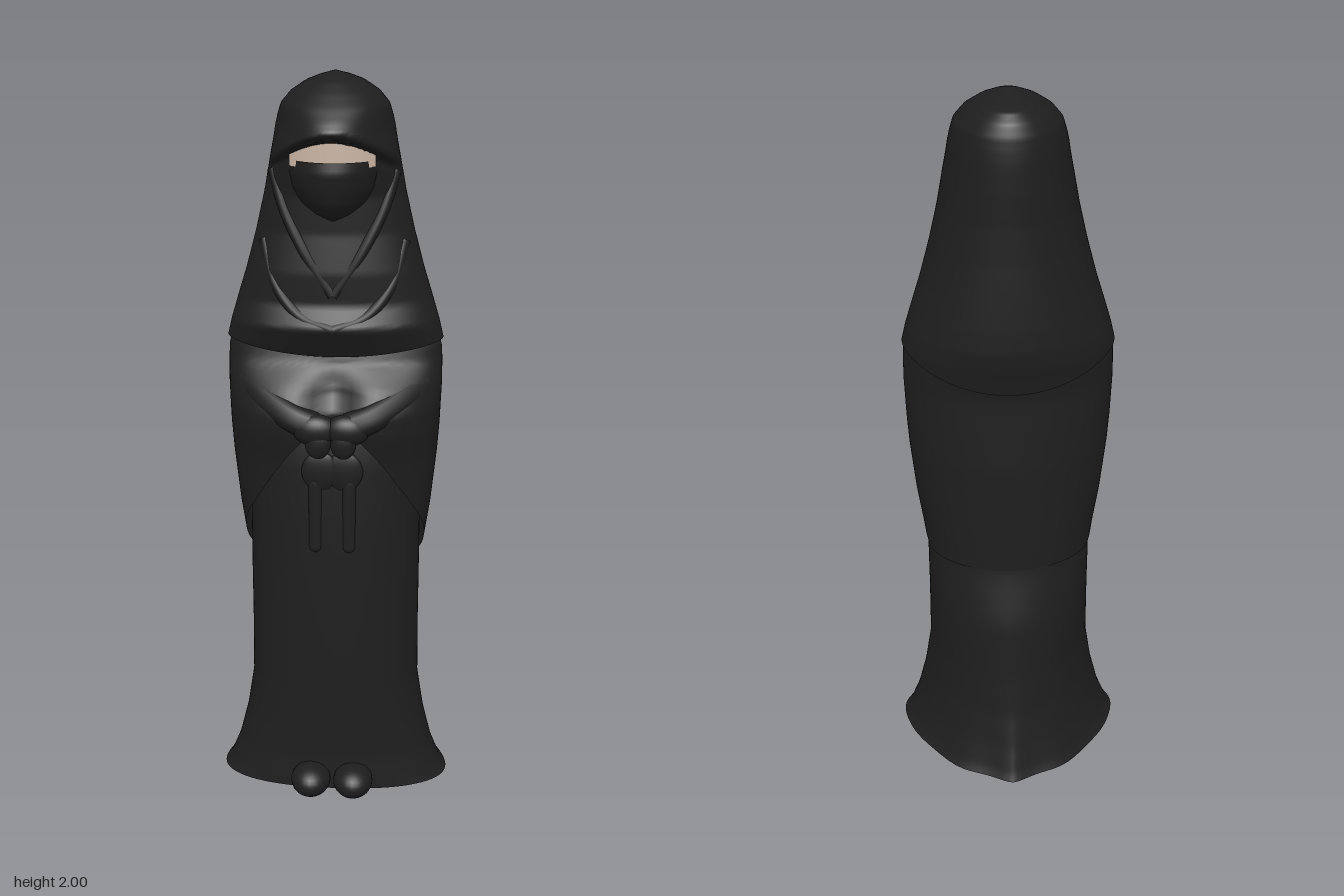
import * as THREE from 'three';

const { lerp, clamp, smoothstep } = THREE.MathUtils;
const black = new THREE.MeshStandardMaterial({ color: 0x1e1e1e, side: THREE.DoubleSide });
black.name = 'black cloth';
const skin = new THREE.MeshStandardMaterial({ color: 0xcab5a4, side: THREE.DoubleSide });
skin.name = 'skin';

// Cross-sections: [height, half width, front z, back z], bottom to top
const ROBE = [
  [0.008, 0.325, 0.203, -0.28], [0.03, 0.308, 0.203, -0.268], [0.1, 0.28, 0.198, -0.242],
  [0.2, 0.255, 0.198, -0.213], [0.32, 0.236, 0.198, -0.192], [0.5, 0.234, 0.198, -0.17],
  [0.66, 0.234, 0.198, -0.127], [0.85, 0.233, 0.197, -0.118], [1.0, 0.235, 0.192, -0.112],
  [1.1, 0.235, 0.175, -0.1], [1.35, 0.2, 0.11, -0.1]];
const CAPE = [
  [0.66, 0.238, 0.2, -0.13], [0.72, 0.243, 0.202, -0.13], [0.85, 0.262, 0.207, -0.127],
  [1.0, 0.277, 0.225, -0.125], [1.08, 0.282, 0.248, -0.12], [1.14, 0.284, 0.25, -0.116],
  [1.2, 0.286, 0.21, -0.112], [1.26, 0.285, 0.145, -0.12], [1.3, 0.283, 0.13, -0.125],
  [1.36, 0.25, 0.12, -0.12]];
const VEIL = [
  [1.22, 0.287, 0.14, -0.118], [1.28, 0.288, 0.152, -0.13], [1.31, 0.288, 0.168, -0.138],
  [1.36, 0.276, 0.195, -0.145], [1.42, 0.258, 0.167, -0.142], [1.5, 0.233, 0.168, -0.135],
  [1.6, 0.206, 0.152, -0.126], [1.7, 0.183, 0.152, -0.12], [1.78, 0.168, 0.168, -0.119],
  [1.832, 0.158, 0.18, -0.117], [1.85, 0.155, 0.238, -0.116], [1.864, 0.153, 0.255, -0.115],
  [1.89, 0.147, 0.234, -0.112], [1.92, 0.138, 0.202, -0.107], [1.95, 0.113, 0.163, -0.095],
  [1.975, 0.075, 0.125, -0.068], [1.99, 0.037, 0.09, 0.0], [2, 0, 0.055, 0.055]];
const NIQAB = [
  [1.635, 0.02, 0.15, 0.05], [1.65, 0.065, 0.172, 0.05], [1.68, 0.1, 0.196, 0.05],
  [1.72, 0.122, 0.21, 0.05], [1.76, 0.132, 0.217, 0.05], [1.79, 0.135, 0.211, 0.05]];
const ZC = 0.055;

function section(rows, y) {
  let i = 0;
  while (i < rows.length - 2 && y > rows[i + 1][0]) i++;
  const a = rows[i], b = rows[i + 1], t = clamp((y - a[0]) / (b[0] - a[0]), 0, 1);
  return [1, 2, 3].map((k) => lerp(a[k], b[k], t));
}

// Point on a cloth surface; 90 degrees is the front, the powers set how boxy each half is
function ringPoint(rows, angle, y, front = 2, back = 2) {
  const [w, f, b] = section(rows, y), c = Math.cos(angle), s = Math.sin(angle);
  const e = 2 / (s > 0 ? front : back);
  return new THREE.Vector3(Math.sign(c) * Math.abs(c) ** e * w, y,
    ZC + (s > 0 ? (f - ZC) * s ** e : (b - ZC) * (-s) ** e));
}

// Front z of a cloth surface at x, y
function frontZ(rows, x, y) {
  const [w, f] = section(rows, y);
  return ZC + (f - ZC) * Math.sqrt(Math.max(0, 1 - (x / w) ** 2));
}

// Grid surface from a rule, optionally closed around u
function surface(fn, nu, nv, closed) {
  const pos = [], index = [], cols = closed ? nu : nu + 1;
  for (let j = 0; j <= nv; j++)
    for (let i = 0; i < cols; i++) pos.push(...fn(i / nu, j / nv).toArray());
  for (let j = 0; j < nv; j++)
    for (let i = 0; i < nu; i++) {
      const a = j * cols + i, b = j * cols + (i + 1) % cols;
      index.push(a, a + cols, b, b, a + cols, b + cols);
    }
  const g = new THREE.BufferGeometry();
  g.setAttribute('position', new THREE.Float32BufferAttribute(pos, 3));
  g.setIndex(index);
  g.computeVertexNormals();
  return g;
}

export function createModel() {
  const model = new THREE.Group();
  const add = (name, geometry, material = black) => {
    const m = new THREE.Mesh(geometry, material);
    m.name = name;
    model.add(m);
    return m;
  };
  const ball = (name, p, s) => {
    const m = add(name, new THREE.SphereGeometry(1, 24, 16));
    m.position.set(...p);
    m.scale.set(...s);
    return m;
  };
  const tube = (name, pts, r) => add(name, new THREE.TubeGeometry(
    new THREE.CatmullRomCurve3(pts.map((p) => new THREE.Vector3(...p))), 24, r, 12));

  // Long robe, its rippled hem flaring to a tapered back
  add('robe', surface((u, v) => {
    const a = u * Math.PI * 2, y = lerp(0.008, 1.35, v ** 1.4);
    const p = ringPoint(ROBE, a, y, 2.3, lerp(1.62, 2, smoothstep(y, 0.05, 0.7)));
    if (p.z < 0) p.z *= 1 + 0.025 * Math.cos(a * 10 + Math.PI) * (1 - smoothstep(y, 0, 0.3));
    return p;
  }, 80, 48, true));

  // Cape sleeves, low at the sides and back, lifted and parted at the front
  add('capeSleeves', surface((u, v) => {
    const a = u * Math.PI * 2, s = Math.sin(a);
    const hem = s > 0 ? 0.73 + 0.22 * s + 0.15 * s ** 6 : 0.73 - 0.06 * Math.min(1, -s * 3);
    const p = ringPoint(CAPE, a, lerp(hem, 1.36, v), 2.15);
    if (s > 0) p.z -= 0.05 * Math.exp(-((p.x / 0.07) ** 2)) * (1 - smoothstep(p.y, 1.18, 1.27));
    return p;
  }, 80, 36, true));

  // Head veil: overhanging brow lower at the temples, hem dipping at the back
  add('headVeil', surface((u, v) => {
    const a = u * Math.PI * 2, s = Math.sin(a), c = Math.cos(a);
    const hem = 1.315 - (s > 0 ? 0.035 : 0.085) * s * s;
    const y = lerp(hem, 2, 1 - (1 - v) ** 1.25);
    const p = ringPoint(VEIL, a, y);
    if (s > 0) {
      const drop = 0.075 * c * c * smoothstep(y, 1.68, 1.76) * (1 - smoothstep(y, 1.85, 1.93));
      p.z = ringPoint(VEIL, a, y + drop).z;
    }
    return p;
  }, 80, 90, true));

  // Skin around the eyes
  add('eyeOpening', surface((u, v) => {
    const x = lerp(0.108, -0.108, u), top = 1.856 - 0.025 * (x / 0.108) ** 2;
    return new THREE.Vector3(x, lerp(1.775, top, v), frontZ(VEIL, x, 1.815) + 0.016);
  }, 20, 4, false), skin);

  // Face veil covering nose and chin
  add('faceVeil', surface((u, v) =>
    ringPoint(NIQAB, u * Math.PI, lerp(1.635, 1.79, v)), 32, 16, false));

  // Soft wrapped folds on the front of the veil
  const fold = (name, xy, r, sink) =>
    tube(name, xy.map(([x, y]) => [x, y, frontZ(VEIL, x, y) - sink]), r);
  for (const s of [1, -1]) {
    fold('neckFold', [[s * 0.155, 1.76], [s * 0.125, 1.66], [s * 0.07, 1.55], [0, 1.445]], 0.016, 0.01);
    fold('outerFold', [[s * 0.18, 1.58], [s * 0.15, 1.47], [s * 0.085, 1.39], [0, 1.36]], 0.016, 0.014);
  }

  for (const s of [1, -1]) {
    // Forearms meeting at the front, mostly sunk in the sleeves
    tube('forearm', [[s * 0.23, 1.2, 0.1], [s * 0.17, 1.165, 0.165], [s * 0.1, 1.13, 0.212], [s * 0.045, 1.11, 0.222]], 0.039);
    // Gloved hands with fingers pointing down
    ball('hand', [s * 0.04, 1.105, 0.232], [0.06, 0.043, 0.034]);
    ball('fingers', [s * 0.033, 1.073, 0.246], [0.034, 0.042, 0.018]);
    // Flat sash bow and tails
    ball('sashLoop', [s * 0.032, 0.975, 0.19], [0.05, 0.055, 0.013]);
    const tail = add('sashTail', new THREE.CapsuleGeometry(0.018, 0.18, 6, 12));
    tail.position.set(s * 0.045, 0.85, 0.193);
    tail.scale.z = 0.45;
    // Shoes
    ball('shoeToe', [s * 0.06, 0.046, 0.215], [0.056, 0.046, 0.065]);
    const shoe = add('shoe', new THREE.CapsuleGeometry(0.043, 0.22, 6, 16));
    shoe.rotation.x = Math.PI / 2;
    shoe.position.set(s * 0.06, 0.043, 0.07);
  }
  return model;
}
